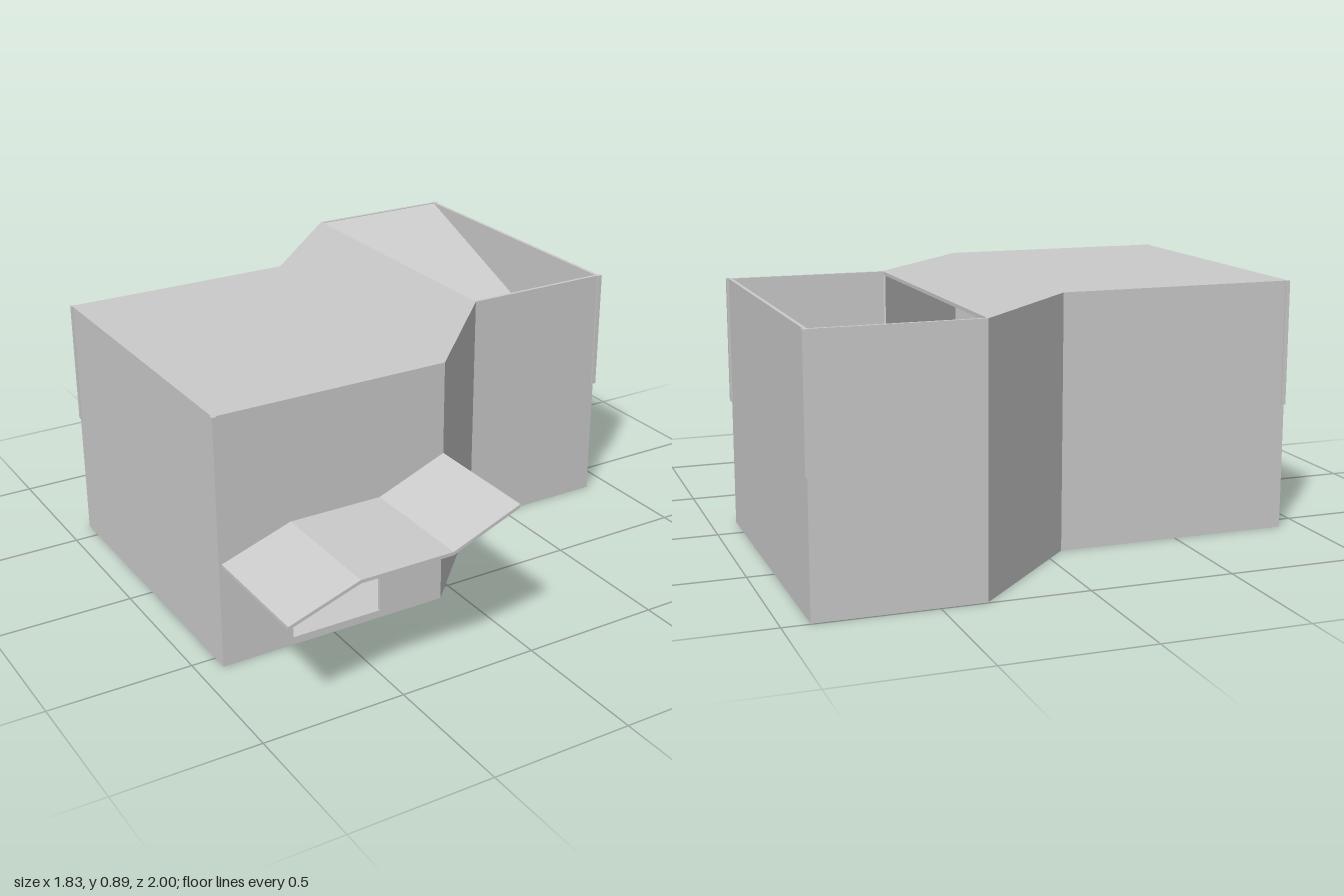
import * as THREE from 'three';

const material = new THREE.MeshStandardMaterial({ color: 0xcccccc, flatShading: true });
const HEIGHT = 0.89, STOREY = 0.45, WALL = 0.012;

// Footprint as [x, z], running from the front left corner along the front
const FOOTPRINT = [
  [-0.915, 0.56], [-0.07, 0.56], [0.345, 0.135], [0.908, 0.135],
  [0.908, -0.995], [0.345, -0.995], [-0.07, -0.58], [-0.915, -0.58],
];

function shapeOf(points) {
  return new THREE.Shape(points.map(([x, y]) => new THREE.Vector2(x, y)));
}

function extrude(shape, depth) {
  return new THREE.ExtrudeGeometry(shape, { depth, bevelEnabled: false });
}

function addMesh(parent, name, geometry) {
  const mesh = new THREE.Mesh(geometry, material);
  mesh.name = name;
  parent.add(mesh);
  return mesh;
}

// Horizontal plate over a plan outline
function slab(outline, bottom, thickness) {
  return extrude(shapeOf(outline.map(([x, z]) => [x, -z])), thickness)
    .rotateX(-Math.PI / 2)
    .translate(0, bottom, 0);
}

export function createModel() {
  const model = new THREE.Group();
  model.name = 'building';

  // Outer walls, the first one with the doorway
  const walls = new THREE.Group();
  walls.name = 'walls';
  model.add(walls);
  FOOTPRINT.forEach(([x, z], i) => {
    const [x2, z2] = FOOTPRINT[(i + 1) % FOOTPRINT.length];
    const length = Math.hypot(x2 - x, z2 - z);
    const shape = shapeOf([[0, 0], [length, 0], [length, HEIGHT], [0, HEIGHT]]);
    if (i === 0) {
      shape.holes.push(shapeOf([[0.26, 0.028], [0.26, STOREY], [0.597, STOREY], [0.597, 0.028]]));
    }
    const wall = addMesh(walls, i === 0 ? 'doorWall' : 'wall', extrude(shape, WALL).translate(0, 0, -WALL));
    wall.position.set(x, 0, z);
    wall.rotation.y = Math.atan2(z - z2, x2 - x);
  });

  // Floors, and the roof that leaves the right wing open
  const roofOutline = FOOTPRINT.filter(([x]) => x < 0.5);
  addMesh(model, 'groundFloor', slab(FOOTPRINT, 0, 0.026));
  addMesh(model, 'upperFloor', slab(FOOTPRINT, STOREY - WALL, WALL));
  addMesh(model, 'roof', slab(roofOutline, HEIGHT - WALL, WALL));

  // Ramp climbing from the upper floor to the top of the back wall
  const rampSide = shapeOf([[0.125, STOREY - 0.01], [0.125, STOREY], [-0.985, HEIGHT - 0.002], [-0.985, HEIGHT - 0.014]]);
  addMesh(model, 'ramp', extrude(rampSide, 0.555).rotateY(-Math.PI / 2).translate(0.9, 0, 0));

  // Folded canopy over the doorway
  const fold = [[-0.905, 0.365], [-0.655, 0.45], [-0.32, 0.45], [-0.07, 0.55]];
  const canopyProfile = shapeOf([...fold, ...fold.map(([x, y]) => [x, y + 0.012]).reverse()]);
  addMesh(model, 'canopy', extrude(canopyProfile, 0.44).translate(0, 0, 0.56));

  // Slim posts on the upper half of the end corners
  for (const [x, z] of [[-0.911, 0.559], [-0.911, -0.577], [0.907, 0.134], [0.907, -0.992]]) {
    const post = addMesh(model, 'cornerPost', new THREE.BoxGeometry(0.016, HEIGHT - STOREY, 0.016));
    post.position.set(x, (HEIGHT + STOREY) / 2, z);
  }
  return model;
}
